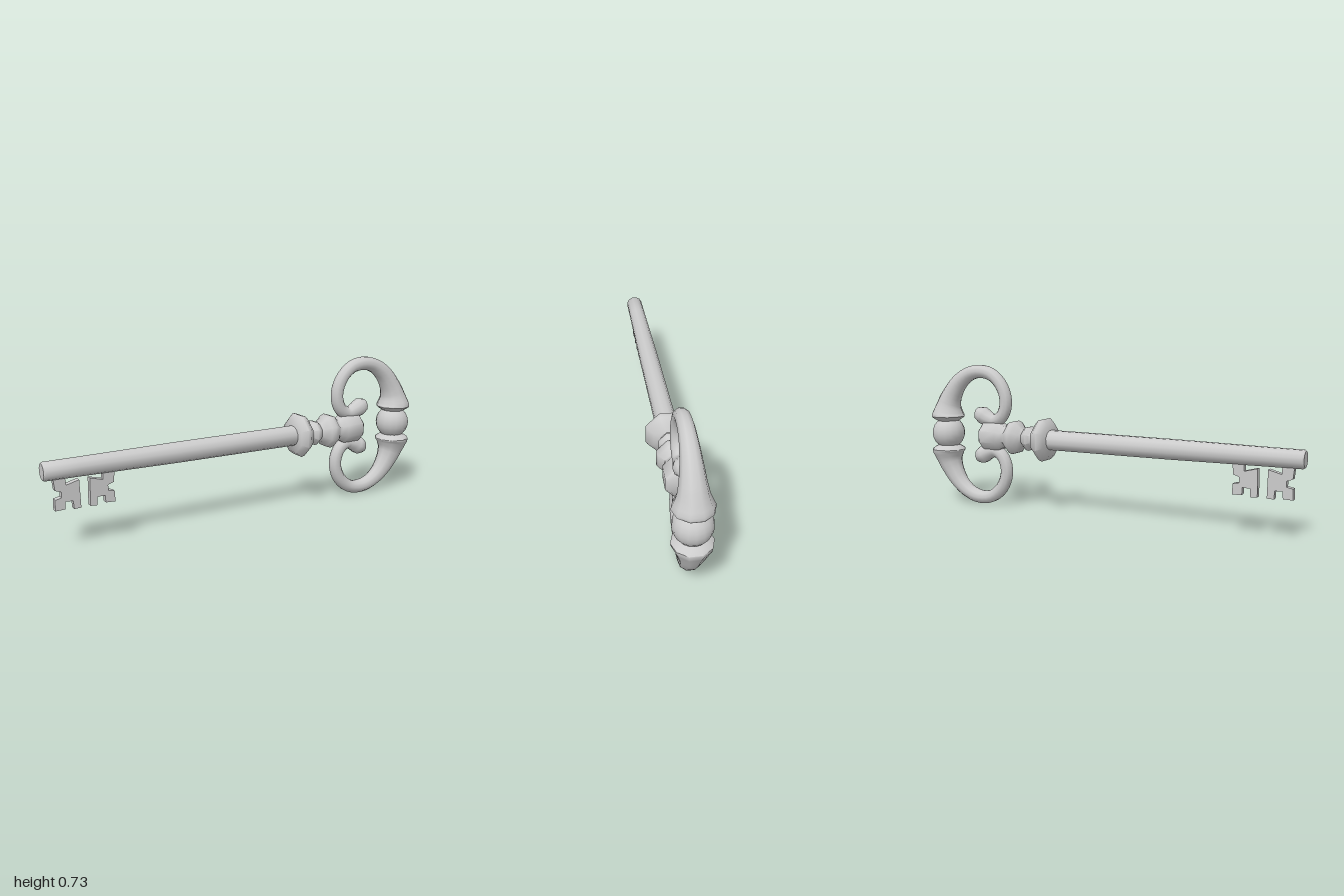
import * as THREE from 'three';
import { toCreasedNormals } from 'three/addons/utils/BufferGeometryUtils.js';

const AXIS = 0.3665; // height of the key's long axis
const material = new THREE.MeshStandardMaterial({ color: 0xcccccc });

function addMesh(parent, name, geometry, crease = 1) {
  const mesh = new THREE.Mesh(toCreasedNormals(geometry, crease), material);
  mesh.name = name;
  parent.add(mesh);
  return mesh;
}

// Turned part along x from [x, radius] pairs
function turned(profile, sides) {
  const k = 1 / Math.cos(Math.PI / sides);
  const points = profile.map(([x, r]) => new THREE.Vector2(r * k, x));
  return new THREE.LatheGeometry(points, sides, Math.PI / sides).rotateZ(-Math.PI / 2);
}

// Closed tube of changing radius along a planar path of [x, y, radius]
function taperedTube(stations, steps, sides) {
  const curve = new THREE.CatmullRomCurve3(stations.map(([x, y]) => new THREE.Vector3(x, y, 0)), false, 'centripetal');
  const positions = [], indices = [];
  const last = stations.length - 1;
  const rings = steps + 1;
  for (let i = 0; i < rings; i++) {
    const t = i / steps;
    const s = Math.min(t * last, last - 1e-6), n = Math.floor(s);
    const r = THREE.MathUtils.lerp(stations[n][2], stations[n + 1][2], s - n);
    const p = curve.getPoint(t), d = curve.getTangent(Math.min(Math.max(t, 0.001), 0.999));
    for (let j = 0; j < sides; j++) {
      const a = ((j + 0.5) / sides) * Math.PI * 2;
      positions.push(p.x - d.y * Math.cos(a) * r, p.y + d.x * Math.cos(a) * r, Math.sin(a) * r);
    }
  }
  for (let i = 0; i < steps; i++) {
    for (let j = 0; j < sides; j++) {
      const a = i * sides + j, b = i * sides + (j + 1) % sides;
      indices.push(a, b, a + sides, b, b + sides, a + sides);
    }
  }
  // End caps
  const end = steps * sides;
  for (let j = 1; j < sides - 1; j++) {
    indices.push(0, j + 1, j, end, end + j, end + j + 1);
  }
  const geometry = new THREE.BufferGeometry();
  geometry.setAttribute('position', new THREE.Float32BufferAttribute(positions, 3));
  geometry.setIndex(indices);
  return geometry;
}

export function createModel() {
  const key = new THREE.Group();
  key.name = 'key';
  const body = new THREE.Group();
  body.name = 'body';
  body.position.y = AXIS;
  key.add(body);

  // Long shaft, slightly tapered toward the tip
  addMesh(body, 'shaft', turned([
    [-1, 0], [-1, 0.036], [-0.992, 0.041], [-0.84, 0.042], [-0.37, 0.047], [0.29, 0.049]
  ], 12));

  // Turned collar, beads and end block
  addMesh(body, 'collar', turned([
    [0.27, 0], [0.27, 0.082], [0.298, 0.105], [0.318, 0.1], [0.345, 0.075], [0.362, 0.045],
    [0.375, 0.045], [0.39, 0.06], [0.405, 0.057], [0.425, 0.04], [0.438, 0.05],
    [0.46, 0.076], [0.482, 0.083], [0.505, 0.076], [0.53, 0.052], [0.545, 0.055],
    [0.57, 0.069], [0.66, 0.071], [0.674, 0.058], [0.674, 0]
  ], 8));

  // Ball held between the two flared scroll ends
  const ball = addMesh(body, 'bowBall', new THREE.SphereGeometry(0.086, 16, 12));
  ball.position.x = 0.911;

  // Upper and lower scrolls of the bow
  const scroll = taperedTube([
    [0.726, 0.113, 0.014], [0.715, 0.112, 0.034], [0.685, 0.104, 0.046], [0.65, 0.088, 0.04],
    [0.61, 0.079, 0.033], [0.568, 0.1, 0.033], [0.542, 0.15, 0.033], [0.542, 0.21, 0.033],
    [0.572, 0.273, 0.033], [0.63, 0.32, 0.033], [0.705, 0.332, 0.035], [0.775, 0.313, 0.038],
    [0.838, 0.265, 0.045], [0.883, 0.2, 0.055], [0.904, 0.15, 0.066], [0.912, 0.1, 0.088],
    [0.912, 0.088, 0.09], [0.912, 0.078, 0.078], [0.912, 0.062, 0.052]
  ], 54, 10);
  addMesh(body, 'upperScroll', scroll);
  addMesh(body, 'lowerScroll', scroll).rotation.x = Math.PI;

  // Pair of mirrored flat bits under the tip
  const outline = [
    [0.139, 0.335], [0.086, 0.335], [0.084, 0.296], [0.024, 0.312], [0.021, 0.184], [0.053, 0.182],
    [0.055, 0.22], [0.09, 0.222], [0.092, 0.188], [0.137, 0.186], [0.135, 0.236],
    [0.106, 0.242], [0.106, 0.268], [0.133, 0.278]
  ];
  for (const side of [-1, 1]) {
    const shape = new THREE.Shape(outline.map(([x, y]) => new THREE.Vector2(side * x, y)));
    const plate = new THREE.ExtrudeGeometry(shape, { depth: 0.03, bevelEnabled: false });
    plate.translate(-0.818, 0, -0.015);
    addMesh(key, side < 0 ? 'outerBit' : 'innerBit', plate, 0.5);
  }
  return key;
}
